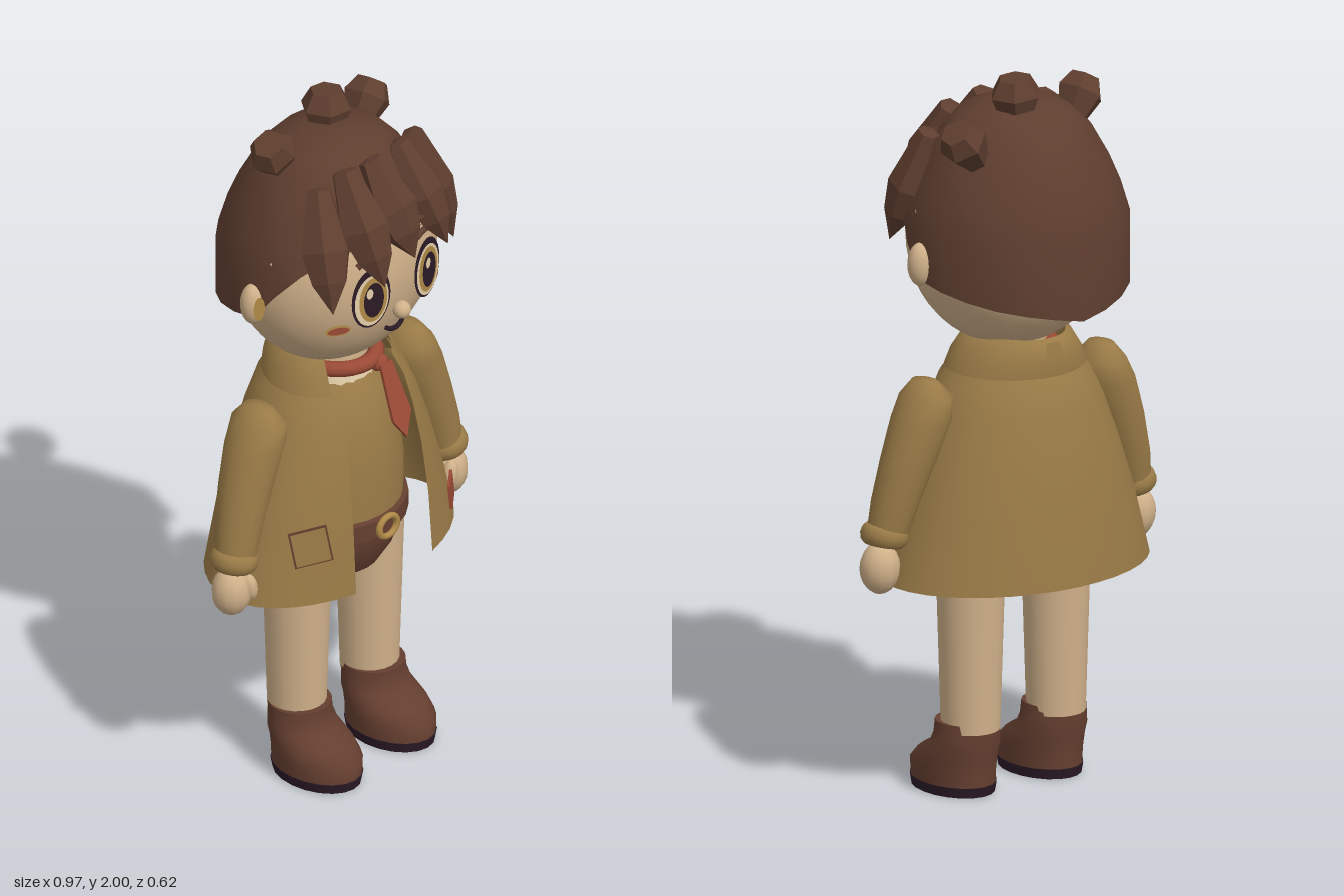
import * as THREE from 'three';
import { mergeVertices, toCreasedNormals } from 'three/addons/utils/BufferGeometryUtils.js';

const colour = (name, hex, side = THREE.FrontSide) => {
  const m = new THREE.MeshStandardMaterial({ color: hex, side });
  m.name = name;
  return m;
};
const V = (x, y, z) => new THREE.Vector3(x, y, z);

// Surface through stacked rings; ring = { x, y, z, rx, f (front depth), b (back depth), gap }
// gap is half the width left open at the front; y may be a function of the angle from the front
function loft(rings, segs = 24, crease = 0.7) {
  const pos = [], index = [];
  for (const { x = 0, y, z = 0, rx, f, b = f, gap = 0 } of rings) {
    const a = gap ? Math.asin(Math.min(1, gap / rx)) : 0;
    for (let i = 0; i <= segs; i++) {
      const t = a + ((i % (gap ? segs + 1 : segs)) / segs) * (2 * Math.PI - 2 * a);
      const c = Math.cos(t);
      pos.push(x + rx * Math.sin(t), typeof y === 'function' ? y(t) : y, z + (c > 0 ? f : b) * c);
    }
  }
  for (let j = 0; j < rings.length - 1; j++) {
    for (let i = 0; i < segs; i++) {
      const p = j * (segs + 1) + i, q = p + segs + 1;
      index.push(p, p + 1, q + 1, p, q + 1, q);
    }
  }
  const g = new THREE.BufferGeometry();
  g.setAttribute('position', new THREE.Float32BufferAttribute(pos, 3));
  g.setIndex(index);
  return toCreasedNormals(mergeVertices(g), crease);
}

// Faceted six-sided lump turned around +y
function facetedLathe(profile) {
  const g = new THREE.LatheGeometry(profile.map(([r, y]) => new THREE.Vector2(r, y)), 6).toNonIndexed();
  g.computeVertexNormals();
  return g;
}

export function createModel() {
  const model = new THREE.Group();
  const skin = colour('skin', 0xd0b18a);
  const hair = colour('hair brown', 0x5e3e2f, THREE.DoubleSide);
  const coat = colour('coat tan', 0x9a7b47, THREE.DoubleSide);
  const leather = colour('leather brown', 0x653f30);
  const red = colour('scarf red', 0x9a4a35, THREE.DoubleSide);
  const dark = colour('dark plum', 0x2b1a26, THREE.DoubleSide);
  const gold = colour('gold', 0xb08a48);
  const cream = colour('cream', 0xe2cda8);

  const add = (name, geo, mat, p = [0, 0, 0], r = [0, 0, 0], s = [1, 1, 1], parent = model) => {
    const m = new THREE.Mesh(geo, mat);
    m.name = name;
    m.position.set(...p);
    m.rotation.set(...r);
    m.scale.set(...s);
    parent.add(m);
    return m;
  };
  const ball = new THREE.SphereGeometry(1, 20, 14);
  const disc = new THREE.CircleGeometry(1, 28);

  // Head
  add('head', new THREE.SphereGeometry(1, 32, 24), skin, [0, 1.56, 0], [0, 0, 0], [0.31, 0.32, 0.25]);
  add('nose', ball, skin, [0, 1.457, 0.25], [0, 0, 0], [0.025, 0.025, 0.025]);
  const smile = new THREE.QuadraticBezierCurve3(V(-0.032, 1.402, 0.222), V(0, 1.38, 0.23), V(0.032, 1.402, 0.222));
  add('mouth', new THREE.TubeGeometry(smile, 10, 0.007, 6), dark);

  // Hair cap with a low nape and a high brow line
  const line = [[0, 1.72], [40, 1.7], [68, 1.6], [88, 1.47], [130, 1.42], [180, 1.37]];
  const hem = (t) => {
    const d = 180 - Math.abs(180 - THREE.MathUtils.radToDeg(t));
    const k = Math.max(1, line.findIndex(([a]) => a >= d - 1e-6));
    const [a0, y0] = line[k - 1], [a1, y1] = line[k];
    return y0 + ((d - a0) / (a1 - a0)) * (y1 - y0);
  };
  const capRings = [[1, 0], [1, 1.595], [0.92, 1.68], [0.82, 1.755], [0.67, 1.84], [0.49, 1.9], [0.25, 1.925], [0, 1.93]];
  add('hairCap', loft(capRings.map(([k, y]) => (
    { y: (t) => Math.max(y, hem(t)), rx: 0.315 * k, f: 0.265 * k, b: 0.315 * k })), 24, 1.2), hair);

  // Fringe locks, each from root to tip
  const lock = facetedLathe([[0, 0], [0.5, 0.02], [1, 0.5], [0.72, 0.75], [0, 1]]);
  const locks = [
    [V(-0.19, 1.87, 0.12), V(-0.27, 1.56, 0.25), 0.072],
    [V(-0.12, 1.91, 0.15), V(-0.12, 1.6, 0.3), 0.075],
    [V(-0.02, 1.9, 0.15), V(0.01, 1.63, 0.29), 0.072],
    [V(0.11, 1.89, 0.13), V(0.16, 1.6, 0.27), 0.08],
    [V(0.22, 1.85, 0.08), V(0.28, 1.53, 0.18), 0.075],
  ];
  for (const [root, tip, w] of locks) {
    const y = tip.clone().sub(root), len = y.length();
    y.normalize();
    const x = new THREE.Vector3().crossVectors(y, V(root.x, 0, 0.17)).normalize();
    const z = new THREE.Vector3().crossVectors(x, y);
    const m = add('fringeLock', lock, hair);
    m.quaternion.setFromRotationMatrix(new THREE.Matrix4().makeBasis(x, y, z));
    m.position.copy(root);
    m.scale.set(w, len, 0.06);
  }

  // Crown tufts
  const tuft = facetedLathe([[0, -0.08], [0.038, -0.08], [0.075, 0.015], [0.048, 0.062], [0, 0.062]]);
  add('crownTuft', tuft, hair, [-0.18, 1.9, -0.05], [0, 0.3, 0.6], [0.92, 1, 0.88]);
  add('crownTuft', tuft, hair, [0.037, 1.937, -0.06], [0, 0.4, -0.08], [1, 1, 0.95]);
  add('crownTuft', tuft, hair, [0.24, 1.855, -0.105], [-0.2, 0, -0.7], [0.9, 1, 0.9]);

  // Mirrored parts
  for (const s of [1, -1]) {
    // Eye: stacked thin plates
    const eye = new THREE.Group();
    eye.name = s > 0 ? 'leftEye' : 'rightEye';
    eye.position.set(s * 0.11, 1.537, 0.24);
    eye.rotation.y = s * 0.2;
    model.add(eye);
    const plate = (name, mat, x, y, z, w, h) => add(name, disc, mat, [x, y, z], [0, 0, 0], [w, h, 1], eye);
    plate('eyeOutline', dark, 0, 0, 0, 0.064, 0.09);
    plate('eyeWhite', cream, 0, -0.006, 0.003, 0.056, 0.077);
    plate('iris', gold, -s * 0.003, -0.003, 0.006, 0.046, 0.068);
    plate('pupil', dark, -s * 0.003, -0.003, 0.009, 0.033, 0.053);
    plate('eyeGlint', cream, -0.012, 0.022, 0.012, 0.011, 0.016);

    const brow = new THREE.QuadraticBezierCurve3(V(s * 0.07, 1.645, 0.24), V(s * 0.105, 1.668, 0.238), V(s * 0.145, 1.64, 0.222));
    add('eyebrow', new THREE.TubeGeometry(brow, 8, 0.009, 6), hair);
    add('cheekRim', disc, gold, [s * 0.19, 1.45, 0.193], [0, s * 0.5, 0], [0.037, 0.016, 1]);
    add('cheekBlush', disc, red, [s * 0.191, 1.45, 0.196], [0, s * 0.5, 0], [0.031, 0.011, 1]);
    add('ear', ball, skin, [s * 0.315, 1.512, -0.003], [0, 0, 0], [0.034, 0.06, 0.034]);
    add('innerEar', disc, gold, [s * 0.325, 1.512, 0.031], [0, s * 0.35, 0], [0.017, 0.036, 1]);

    // Arm
    add('sleeve', loft([
      { x: s * 0.408, y: 0.765, z: 0.02, rx: 0.056, f: 0.056 },
      { x: s * 0.385, y: 0.86, z: 0.012, rx: 0.067, f: 0.066 },
      { x: s * 0.348, y: 0.97, z: 0.005, rx: 0.078, f: 0.074 },
      { x: s * 0.308, y: 1.08, rx: 0.082, f: 0.084 },
      { x: s * 0.292, y: 1.14, rx: 0.066, f: 0.083 },
      { x: s * 0.295, y: 1.182, rx: 0.03, f: 0.045 },
      { x: s * 0.295, y: 1.187, rx: 0, f: 0 },
    ], 16, 1), coat);
    add('cuff', new THREE.TorusGeometry(0.047, 0.019, 10, 20), coat, [s * 0.415, 0.765, 0.022], [Math.PI / 2, s * 0.2, 0], [1, 1, 1.5]);
    add('hand', new THREE.SphereGeometry(1, 12, 10), skin, [s * 0.428, 0.675, 0.025], [0, 0, 0], [0.056, 0.072, 0.054]);
    add('thumb', ball, skin, [s * 0.395, 0.685, 0.06], [0, 0, s * -0.2], [0.022, 0.042, 0.022]);

    // Leg and shoe
    add('leg', new THREE.CylinderGeometry(0.095, 0.08, 0.5, 20), skin, [s * 0.143, 0.43, 0]);
    add('shoe', loft([
      { y: 0.026, z: 0.075, rx: 0.1, f: 0.138 },
      { y: 0.07, z: 0.075, rx: 0.104, f: 0.137 },
      { y: 0.105, z: 0.055, rx: 0.103, f: 0.12 },
      { y: 0.14, z: 0.022, rx: 0.097, f: 0.093 },
      { y: 0.17, z: 0.014, rx: 0.092, f: 0.085 },
      { y: 0.205, z: 0.013, rx: 0.087, f: 0.086 },
      { y: 0.205, z: 0.013, rx: 0, f: 0 },
    ], 20, 1), leather).position.x = s * 0.145;
    add('sole', new THREE.CylinderGeometry(1, 0.96, 0.028, 20), dark, [s * 0.145, 0.014, 0.075], [0, 0, 0], [0.102, 1, 0.141]);
  }

  // Torso, shorts and belt
  add('shorts', loft([
    { y: 0.595, rx: 0, f: 0 }, { y: 0.595, rx: 0.125, f: 0.125 }, { y: 0.64, rx: 0.175, f: 0.15 },
    { y: 0.7, rx: 0.198, f: 0.172 }, { y: 0.75, rx: 0.198, f: 0.175 },
  ], 24, 0.9), leather);
  add('shirt', loft([
    { y: 0.74, rx: 0.198, f: 0.177 }, { y: 0.9, rx: 0.2, f: 0.18 }, { y: 1.05, rx: 0.18, f: 0.165 },
    { y: 1.15, rx: 0.14, f: 0.135 }, { y: 1.19, rx: 0.105, f: 0.11 },
  ], 24, 1.2), coat);
  add('belt', loft([
    { y: 0.725, rx: 0.198, f: 0.175 }, { y: 0.73, rx: 0.212, f: 0.192 },
    { y: 0.78, rx: 0.212, f: 0.192 }, { y: 0.785, rx: 0.198, f: 0.175 },
  ]), leather);
  add('buckle', new THREE.TorusGeometry(0.03, 0.009, 8, 20), gold, [0, 0.757, 0.2], [0, 0, 0], [1.15, 1, 1]);
  add('neck', new THREE.CylinderGeometry(0.09, 0.1, 0.14, 20), skin, [0, 1.22, 0]);
  add('shirtCollar', new THREE.CylinderGeometry(0.105, 0.115, 0.04, 20), cream, [0, 1.195, 0]);

  // Open coat and its standing collar
  add('coat', loft([
    { y: 0.62, rx: 0.4, f: 0.24, b: 0.295, gap: 0.15 },
    { y: 0.8, rx: 0.352, f: 0.232, b: 0.277, gap: 0.147 },
    { y: 0.95, rx: 0.302, f: 0.218, b: 0.255, gap: 0.14 },
    { y: 1.08, rx: 0.252, f: 0.198, b: 0.228, gap: 0.128 },
    { y: 1.16, rx: 0.212, f: 0.178, b: 0.205, gap: 0.12 },
    { y: 1.215, rx: 0.165, f: 0.15, b: 0.17, gap: 0.11 },
  ], 32, 1.2), coat);
  add('coatCollar', loft([
    { y: 1.185, rx: 0.197, f: 0.165, b: 0.19, gap: 0.135 },
    { y: 1.225, rx: 0.182, f: 0.15, b: 0.192, gap: 0.13 },
    { y: 1.278, rx: 0.145, f: 0.12, b: 0.18, gap: 0.115 },
    { y: 1.285, rx: 0.128, f: 0.105, b: 0.16, gap: 0.105 },
    { y: 1.23, rx: 0.122, f: 0.1, b: 0.15, gap: 0.1 },
  ], 28, 1), coat);

  // Coat pocket and mended patch
  add('pocketEdge', new THREE.BoxGeometry(0.106, 0.106, 0.006), leather, [-0.266, 0.795, 0.164], [-0.12, -0.65, 0.1]);
  add('pocket', new THREE.BoxGeometry(0.096, 0.096, 0.009), coat, [-0.267, 0.795, 0.165], [-0.12, -0.65, 0.1]);
  add('patch', new THREE.BoxGeometry(0.086, 0.07, 0.008), red, [0.294, 0.722, 0.157], [-0.12, 0.68, 0.1]);

  // Scarf band and hanging blade
  add('scarfBand', new THREE.TorusGeometry(0.105, 0.022, 10, 28), red, [0, 1.235, 0.01], [Math.PI / 2, 0, 0], [1, 1.05, 1]);
  add('scarfKnot', ball, red, [0.045, 1.22, 0.127], [0, 0, 0], [0.028, 0.024, 0.022]);
  const blade = new THREE.Shape([[-0.022, 0], [0.022, 0], [0.04, -0.15], [0, -0.215], [-0.032, -0.16]]
    .map(([x, y]) => new THREE.Vector2(x, y)));
  add('scarfBlade', new THREE.ExtrudeGeometry(blade, { depth: 0.009, bevelEnabled: false }), red, [0.05, 1.222, 0.14], [-0.36, 0, 0]);

  return model;
}
